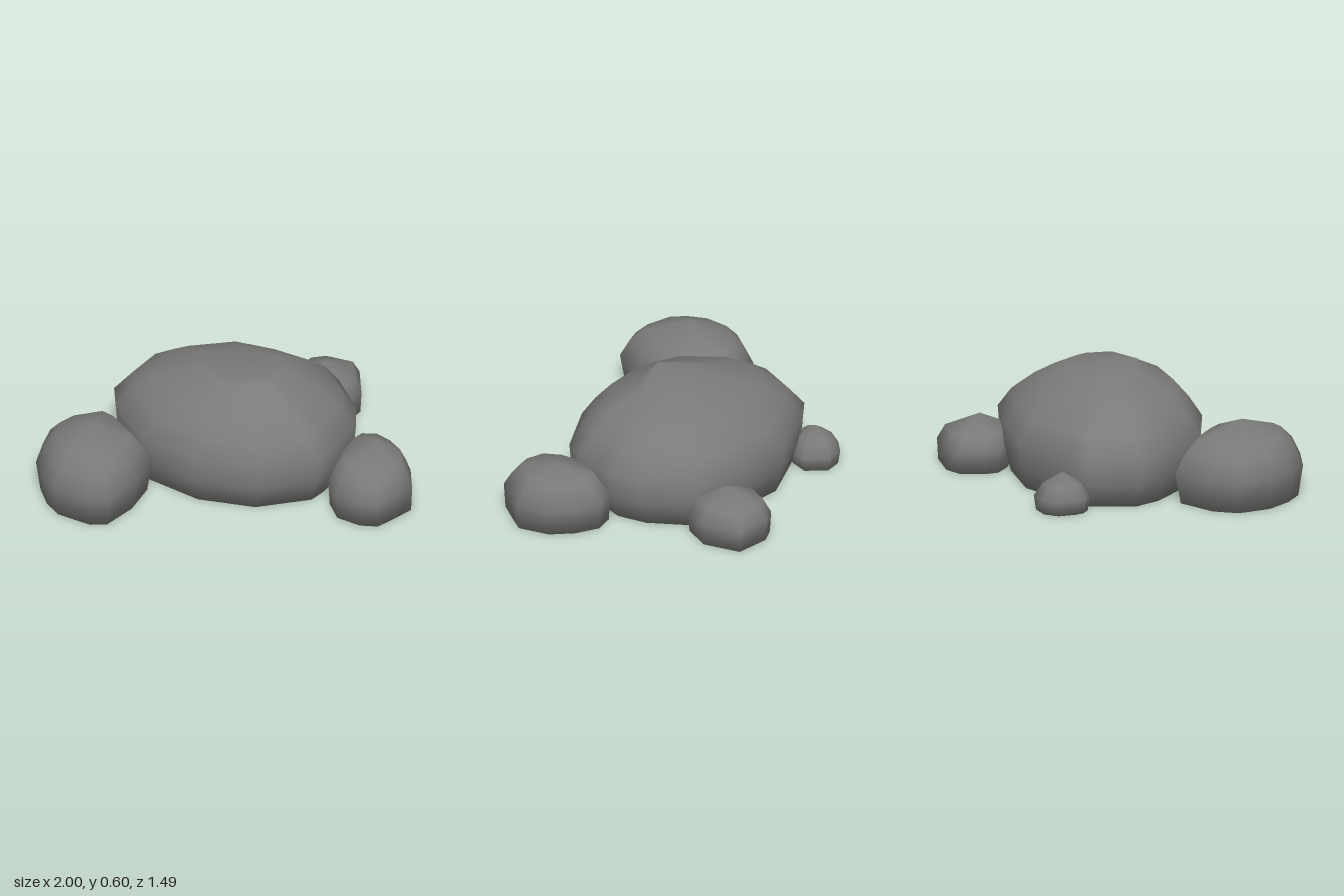
import * as THREE from 'three';

// One boulder: a plan outline (clockwise from above) scaled about its centre on each level.
// Levels are [height, scale, shift in x, shift in z]; the peak closes the top.
function boulder(name, material, [cx, cz], peak, outline, levels) {
  const n = outline.length;
  const pos = [], index = [];

  // sides
  levels.forEach(([y, s, dx = 0, dz = 0], r) => {
    outline.forEach(([x, z], i) => {
      pos.push(cx + dx + (x - cx) * s, y, cz + dz + (z - cz) * s);
      if (r === levels.length - 1) return;
      const a = r * n + i, b = r * n + (i + 1) % n;
      index.push(a, a + n, b, b, a + n, b + n);
    });
  });

  // top and flat underside, both shaded smoothly into the sides
  const last = (levels.length - 1) * n, top = levels.length * n, bottom = top + 1;
  pos.push(...peak, cx, levels[0][0], cz);
  for (let i = 0; i < n; i++) {
    const j = (i + 1) % n;
    index.push(last + i, top, last + j, bottom, i, j);
  }

  const geometry = new THREE.BufferGeometry();
  geometry.setAttribute('position', new THREE.Float32BufferAttribute(pos, 3));
  geometry.setIndex(index);
  geometry.computeVertexNormals();
  const mesh = new THREE.Mesh(geometry, material);
  mesh.name = name;
  return mesh;
}

export function createModel() {
  const group = new THREE.Group();
  group.name = 'boulders';
  const stone = new THREE.MeshStandardMaterial({ color: 0x7a7a78 });
  stone.name = 'grey stone';

  group.add(
    boulder('mainBoulder', stone, [0.1, -0.02], [0.03, 0.6, 0.17], [
      [-0.555, -0.28], [-0.39, -0.5], [-0.27, -0.54], [0.1, -0.585], [0.4, -0.46],
      [0.65, -0.3], [0.73, -0.03], [0.72, 0.15], [0.66, 0.25], [0.58, 0.4],
      [0.5, 0.49], [0.17, 0.555], [-0.16, 0.455], [-0.43, 0.23], [-0.555, -0.12],
    ], [[0, 0.92], [0.13, 0.98], [0.27, 1], [0.38, 0.87], [0.48, 0.68, 0, 0.02], [0.57, 0.35, 0.03, 0.03]]),

    boulder('frontRightBoulder', stone, [-0.7, 0.3], [-0.7, 0.43, 0.3], [
      [-1, 0.27], [-0.95, 0.08], [-0.83, -0.02], [-0.6, -0.075], [-0.52, 0], [-0.42, 0.2],
      [-0.38, 0.31], [-0.48, 0.51], [-0.63, 0.67], [-0.73, 0.67], [-0.91, 0.55], [-0.97, 0.43],
    ], [[0, 0.92], [0.17, 1], [0.27, 0.86], [0.34, 0.67]]),

    boulder('frontLeftBoulder', stone, [0.81, 0.43], [0.82, 0.345, 0.42], [
      [0.555, 0.5], [0.57, 0.4], [0.66, 0.22], [0.72, 0.16], [0.83, 0.17], [0.93, 0.27],
      [1, 0.4], [1, 0.58], [0.92, 0.65], [0.81, 0.74], [0.71, 0.725], [0.59, 0.64],
    ], [[0, 0.97], [0.14, 1], [0.21, 0.87], [0.28, 0.7]]),

    boulder('backLeftBoulder', stone, [0.59, -0.48], [0.59, 0.28, -0.47], [
      [0.385, -0.5], [0.41, -0.57], [0.5, -0.68], [0.6, -0.695], [0.775, -0.615],
      [0.775, -0.4], [0.67, -0.27], [0.55, -0.27], [0.43, -0.4],
    ], [[0, 0.97], [0.12, 1], [0.2, 0.8]]),

    boulder('backPebble', stone, [-0.29, -0.6], [-0.29, 0.21, -0.6], [
      [-0.425, -0.55], [-0.42, -0.6], [-0.38, -0.7], [-0.3, -0.745], [-0.2, -0.725],
      [-0.14, -0.6], [-0.2, -0.5], [-0.3, -0.46], [-0.4, -0.5],
    ], [[0, 0.92], [0.08, 1], [0.15, 0.7]]),
  );
  return group;
}
